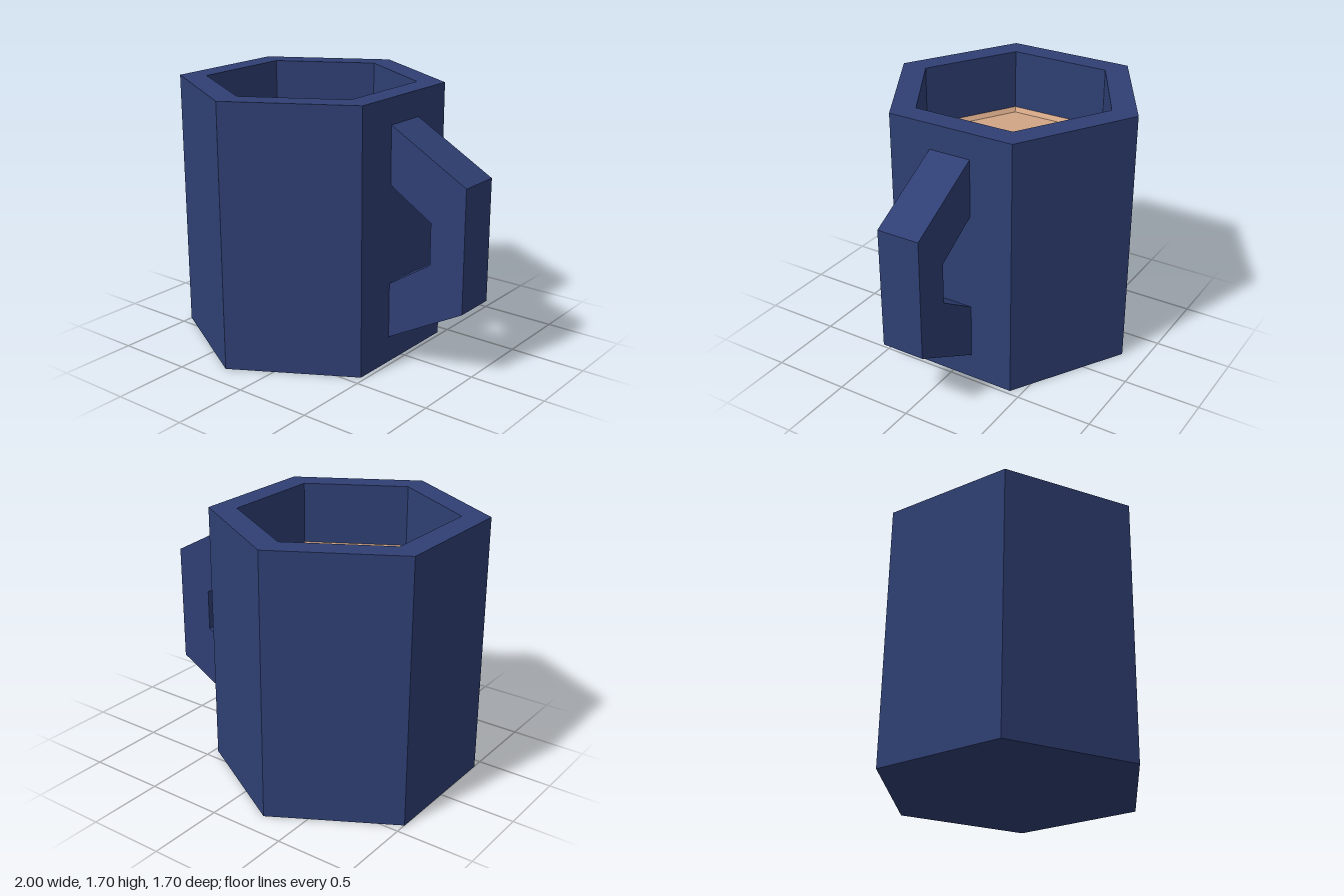
import * as THREE from 'three';

const blue = new THREE.MeshStandardMaterial({ color: 0x2f3f74 });
blue.name = 'navy glaze';
const tan = new THREE.MeshStandardMaterial({ color: 0xd1a585 });
tan.name = 'milky coffee';

// Six-sided turned shape with faceted normals, from [radius, height] pairs
function hexLathe(name, profile, material) {
  const points = profile.map(([r, y]) => new THREE.Vector2(r, y));
  const geometry = new THREE.LatheGeometry(points, 6).toNonIndexed();
  geometry.computeVertexNormals();
  const mesh = new THREE.Mesh(geometry, material);
  mesh.name = name;
  return mesh;
}

export function createModel() {
  const model = new THREE.Group();
  model.name = 'mug';

  // Hexagonal cup: base, outer wall, flat rim, inner wall and floor
  const cup = hexLathe('cup', [
    [0, 0], [0.85, 0], [0.85, 1.7], [0.675, 1.7], [0.675, 0.18], [0, 0.18],
  ], blue);

  // Drink surface with a raised edge where it meets the wall
  const drink = hexLathe('drink', [[0.675, 1.3], [0.65, 1.27], [0, 1.27]], tan);
  cup.position.x = drink.position.x = -0.265;

  // Angular handle, its ends set into the cup wall
  const outline = [
    [0.42, 0.14], [0.47, 0.17], [1, 0.46], [1, 1.24], [0.47, 1.535], [0.42, 1.56],
    [0.42, 1.195], [0.47, 1.165], [0.765, 0.985], [0.765, 0.72], [0.47, 0.53], [0.42, 0.5],
  ];
  const shape = new THREE.Shape(outline.map(([x, y]) => new THREE.Vector2(x, y)));
  const bar = new THREE.ExtrudeGeometry(shape, { depth: 0.28, bevelEnabled: false });
  bar.translate(0, 0, -0.14);
  const handle = new THREE.Mesh(bar, blue);
  handle.name = 'handle';

  model.add(cup, drink, handle);
  return model;
}
